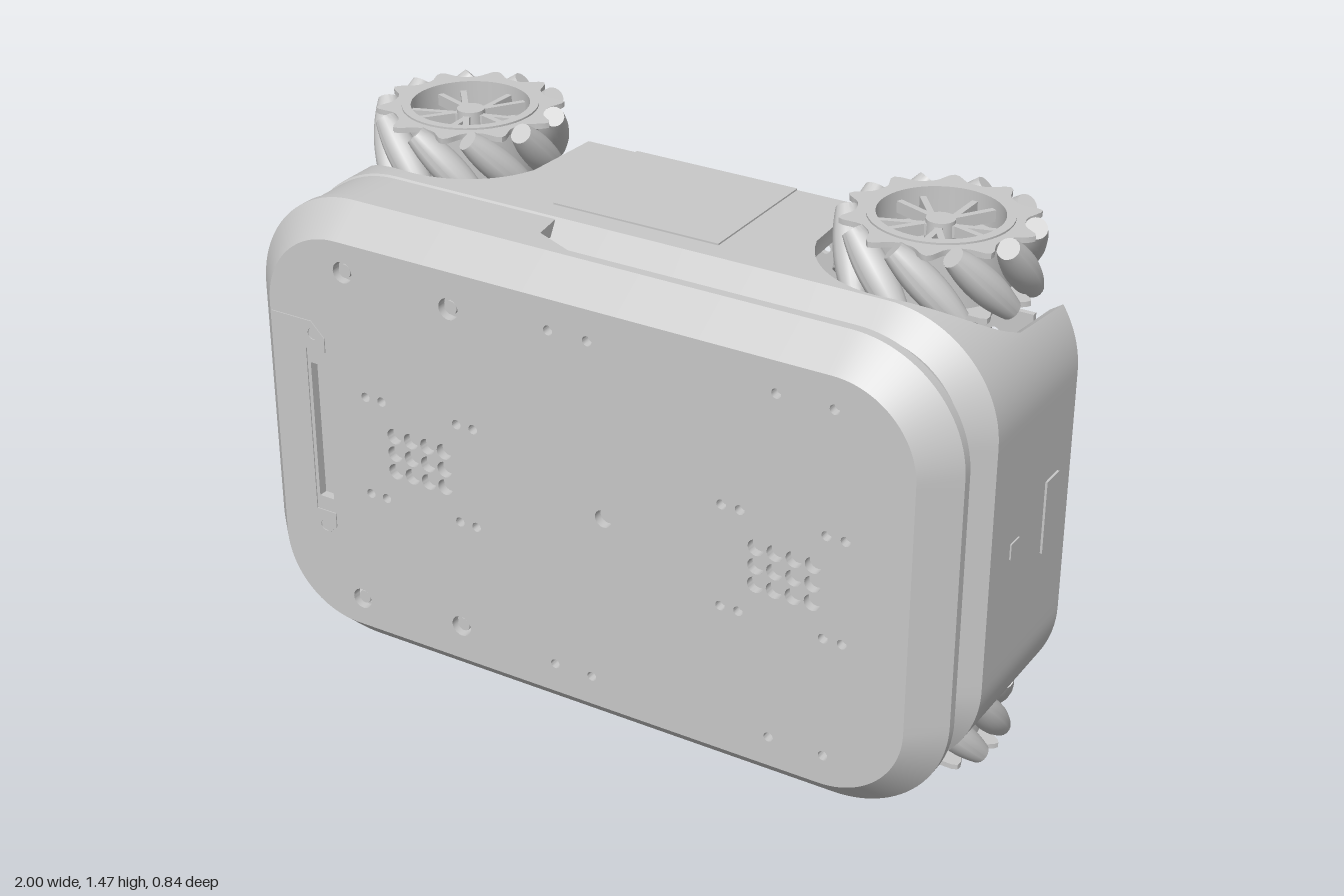
import * as THREE from 'three';
import { toCreasedNormals } from 'three/addons/utils/BufferGeometryUtils.js';

const CY = 0.735;
const gray = new THREE.MeshStandardMaterial({ color: 0xc8c8c8, side: THREE.DoubleSide });
gray.name = 'light gray plastic';

function add(parent, name, geometry, x = 0, y = 0, z = 0) {
  const m = new THREE.Mesh(geometry, gray);
  m.name = name;
  m.position.set(x, y, z);
  parent.add(m);
  return m;
}

// Rounded rectangle outline, counter-clockwise, always the same point count
function outline(inset) {
  const w = 0.995 - inset, h = 0.635 - inset, r = 0.3 - inset, pts = [];
  const corners = [[1, -1], [1, 1], [-1, 1], [-1, -1]];
  corners.forEach(([sx, sy], k) => {
    const cx = sx * (w - r), cy = sy * (h - r), a0 = (k - 1) * Math.PI / 2;
    for (let i = 0; i <= 24; i++) {
      const a = a0 + i / 24 * Math.PI / 2;
      pts.push(new THREE.Vector2(cx + r * Math.cos(a) - 0.005, cy + r * Math.sin(a) + CY));
    }
    const last = pts[pts.length - 1], n = k % 2 ? 100 : 20;
    const [nx, ny] = corners[(k + 1) % 4], an = k * Math.PI / 2;
    const next = new THREE.Vector2(nx * (w - r) + r * Math.cos(an) - 0.005, ny * (h - r) + r * Math.sin(an) + CY);
    for (let i = 1; i < n; i++) pts.push(last.clone().lerp(next, i / n));
  });
  return pts;
}

// Skin through outlines; each step is [inset, z], z may depend on x
function loft(steps) {
  const base = outline(0), n = base.length, pos = [], idx = [];
  steps.forEach(([inset, z]) => outline(inset).forEach((p, i) =>
    pos.push(p.x, p.y, typeof z === 'function' ? z(base[i].x) : z)));
  for (let s = 0; s < steps.length - 1; s++) {
    for (let i = 0; i < n; i++) {
      const a = s * n + i, b = s * n + (i + 1) % n;
      idx.push(a, b, b + n, a, b + n, a + n);
    }
  }
  const g = new THREE.BufferGeometry();
  g.setAttribute('position', new THREE.Float32BufferAttribute(pos, 3));
  g.setIndex(idx);
  return toCreasedNormals(g, 0.5);
}

const circle = (x, y, r) => new THREE.Path().absarc(x, y, r, 0, Math.PI * 2, true);
const rect = (x0, y0, x1, y1) => new THREE.Path([[x0, y0], [x0, y1], [x1, y1], [x1, y0]].map(p => new THREE.Vector2(...p)));

function slab(pts, depth, holes = []) {
  const s = new THREE.Shape(pts);
  s.holes.push(...holes);
  return toCreasedNormals(new THREE.ExtrudeGeometry(s, { depth, bevelEnabled: false, curveSegments: 10 }), 0.5);
}
const poly = list => list.map(([x, y]) => new THREE.Vector2(x, CY + y));

// Lower rim of the body wall, rising over the wheels
function wallBottom(x) {
  for (const [c, w, top] of [[-0.675, 0.265, 0.12], [0.66, 0.275, 0.15]]) {
    const u = (x - c) / w;
    if (Math.abs(u) < 1) return -0.13 + (top + 0.13) * Math.sqrt(1 - u * u);
  }
  return -0.29;
}

// Lower rim of the rear band that carries the lid
function bandBottom(x) {
  if (x < -0.2) return 0.16;
  return Math.min(0.32, 0.25 + (x + 0.2) * 0.45);
}

function buildWheel() {
  const wheel = new THREE.Group();
  // Scalloped side plates
  const edge = [];
  for (let i = 0; i < 120; i++) {
    const a = i / 120 * Math.PI * 2;
    const r = 0.222 + 0.022 * Math.cos(10 * a + 0.6 * Math.sin(10 * a));
    edge.push(new THREE.Vector2(r * Math.cos(a), r * Math.sin(a)));
  }
  const plate = slab(edge, 0.014, [circle(0, 0, 0.165)]);
  plate.rotateX(-Math.PI / 2);
  add(wheel, 'outerPlate', plate, 0, 0.076, 0);
  add(wheel, 'innerPlate', plate, 0, -0.09, 0);
  // Rim, hub and paired spokes
  const ring = [[0.155, -0.095], [0.178, -0.095], [0.178, 0.095], [0.155, 0.095], [0.155, -0.095]];
  add(wheel, 'rim', toCreasedNormals(new THREE.LatheGeometry(ring.map(p => new THREE.Vector2(...p)), 48), 0.5));
  add(wheel, 'rimWeb', new THREE.CylinderGeometry(0.157, 0.157, 0.012, 40), 0, 0.01, 0);
  add(wheel, 'hub', new THREE.CylinderGeometry(0.036, 0.042, 0.15, 24), 0, 0.005, 0);
  for (let i = 0; i < 5; i++) {
    for (const side of [-1, 1]) {
      const arm = new THREE.Group();
      arm.rotation.y = i * Math.PI * 0.4 + side * 0.16;
      const spoke = add(arm, 'spoke', new THREE.BoxGeometry(0.135, 0.03, 0.016), 0.094, 0.055, 0);
      spoke.rotation.y = side * 0.12;
      wheel.add(arm);
    }
  }
  // Barrel rollers set at 45 degrees
  const profile = [new THREE.Vector2(0, -0.115)];
  for (let i = 0; i <= 12; i++) {
    const t = -0.115 + i / 12 * 0.23;
    profile.push(new THREE.Vector2(0.255 - Math.hypot(0.212, 0.707 * t), t));
  }
  profile.push(new THREE.Vector2(0, 0.115));
  const barrel = toCreasedNormals(new THREE.LatheGeometry(profile, 18), 0.6);
  for (let i = 0; i < 10; i++) {
    const arm = new THREE.Group();
    arm.rotation.y = i / 10 * Math.PI * 2;
    add(arm, 'roller', barrel, 0.212, 0, 0).rotation.x = Math.PI / 4;
    wheel.add(arm);
  }
  return wheel;
}

export function createModel() {
  const robot = new THREE.Group();
  robot.name = 'wheeledRobot';

  // Body shell with wheel arches and chamfered deck
  add(robot, 'bodyShell', loft([[0.07, 0.15], [0.04, 0.15], [0.04, wallBottom], [0, wallBottom], [0, 0.16], [0.065, 0.215]]));
  add(robot, 'deck', slab(outline(0.065), 0.065), 0, 0, 0.15);
  add(robot, 'rearBand', loft([[0.04, 0.32], [0.04, bandBottom], [0.005, bandBottom], [0.005, 0.32]]));

  // Lid with drilled top, hollow rim and ribs
  add(robot, 'lidRim', loft([[0.13, 0.33], [0.13, 0.385], [0.07, 0.385], [0.03, 0.335], [0.03, 0.31], [0, 0.31], [0, 0.335], [0.08, 0.42]]));
  add(robot, 'lidFloor', slab(outline(0.13), 0.01), 0, 0, 0.33);
  const holes = [circle(0.08, CY, 0.024), rect(-0.8, 0.54, -0.755, 0.93)];
  for (const x0 of [-0.545, 0.505]) {
    for (let i = 0; i < 4; i++) for (let j = -1; j <= 1; j++) holes.push(circle(x0 + i * 0.051, CY + j * 0.051, 0.022));
  }
  for (const s of [-1, 1]) {
    for (const x of [-0.07, 0.04, 0.55, 0.7]) holes.push(circle(x, CY + s * 0.472, 0.013));
    for (const x of [-0.63, -0.58, -0.35, -0.3, 0.41, 0.46, 0.69, 0.74]) holes.push(circle(x, CY + s * 0.14, 0.013));
    holes.push(circle(-0.68, CY + s * 0.475, 0.029), circle(-0.36, CY + s * 0.455, 0.029));
    for (const x of [-0.68, -0.36]) {
      const y = CY + s * (x < -0.5 ? 0.475 : 0.455);
      add(robot, 'lidScrew', new THREE.CylinderGeometry(0.018, 0.018, 0.06, 16), x, y, 0.38).rotation.x = Math.PI / 2;
    }
  }
  add(robot, 'lidTop', slab(outline(0.08), 0.025, holes), 0, 0, 0.395);
  const ribs = outline(0.09);
  for (let i = 0; i < ribs.length; i += 12) {
    const t = ribs[(i + 1) % ribs.length].clone().sub(ribs[i]);
    add(robot, 'lidRib', new THREE.BoxGeometry(0.01, 0.08, 0.05), ribs[i].x, ribs[i].y, 0.35).rotation.z = Math.atan2(t.y, t.x);
  }
  // Access cover on the lid
  const cover = poly([[-0.915, -0.315], [-0.79, -0.315], [-0.75, -0.275], [-0.75, -0.235], [-0.81, -0.235],
    [-0.81, 0.235], [-0.75, 0.235], [-0.75, 0.275], [-0.79, 0.315], [-0.915, 0.315]]);
  add(robot, 'accessCover', slab(cover, 0.004, [-0.28, 0.28].map(y => circle(-0.785, CY + y, 0.016))), 0, 0, 0.419);

  // Scanner between deck and lid
  add(robot, 'scanner', new THREE.CylinderGeometry(0.19, 0.19, 0.09, 48), 0.41, CY, 0.255).rotation.x = Math.PI / 2;
  for (const a of [-0.9, 0.9, 2.2, -2.2]) {
    const port = add(robot, 'scannerPort', new THREE.TorusGeometry(0.02, 0.006, 8, 20), 0.41 + 0.19 * Math.cos(a), CY + 0.19 * Math.sin(a), 0.255);
    port.rotation.set(Math.PI / 2, a + Math.PI / 2, 0, 'ZXY');
    port.rotation.set(Math.PI / 2, 0, a + Math.PI / 2, 'ZXY');
  }

  // Chassis plates underneath
  const bolts = [];
  for (const s of [-1, 1]) {
    for (const x of [0.3, 0.05, -0.2, -0.38]) bolts.push(circle(x, CY + s * 0.5, 0.014));
    for (const x of [0.3, 0.22]) bolts.push(circle(x, CY + s * 0.27, 0.016), circle(x, CY + s * 0.12, 0.016));
    for (const x of [-0.55, -0.64]) bolts.push(circle(x, CY + s * 0.26, 0.013), circle(x, CY + s * 0.4, 0.013));
    bolts.push(circle(-0.595, CY + s * 0.33, 0.03), circle(-0.1, CY + s * 0.1, 0.012), circle(-0.75, CY + s * 0.15, 0.014));
    bolts.push(rect(-0.4, CY + s * 0.29 - 0.005, 0.1, CY + s * 0.29 + 0.005));
  }
  bolts.push(rect(-0.47, CY - 0.3, -0.455, CY + 0.3));
  const half = [[-0.86, 0.18], [-0.8, 0.18], [-0.8, 0.3], [-0.86, 0.3], [-0.86, 0.46], [-0.42, 0.46], [-0.39, 0.59],
    [0.37, 0.59], [0.37, 0.34], [0.43, 0.3], [0.43, 0.22], [0.57, 0.2]];
  const mirrored = list => poly([...list, ...list.map(([x, y]) => [x, -y]).reverse()]);
  add(robot, 'mainPlate', slab(mirrored(half), 0.015, bolts), 0, 0, -0.295);
  const axleHoles = [];
  for (const s of [-1, 1]) {
    axleHoles.push(circle(0.7, CY + s * 0.33, 0.032));
    for (const dx of [-0.07, 0.07]) for (const dy of [-0.06, 0.06]) axleHoles.push(circle(0.7 + dx, CY + s * 0.33 + dy, 0.013));
    axleHoles.push(circle(0.7, CY + s * 0.1, 0.015), circle(0.78, CY + s * 0.05, 0.013));
  }
  const axleHalf = [[0.87, 0.46], [0.43, 0.46], [0.43, 0.38], [0.5, 0.35], [0.5, 0.27], [0.63, 0.24]];
  add(robot, 'axlePlate', slab(mirrored(axleHalf), 0.015, axleHoles), 0, 0, -0.295);
  add(robot, 'pivotBeam', new THREE.BoxGeometry(0.5, 0.12, 0.05), 0.62, CY, -0.2);

  // Sides: battery panel, wheels, motors and brackets
  for (const s of [-1, 1]) {
    const yAt = d => CY + s * d;
    add(robot, 'sidePanel', new THREE.BoxGeometry(0.47, 0.009, 0.39), -0.025, yAt(0.635), -0.095);
    for (const x of [-0.69, 0.665]) {
      const wheel = buildWheel();
      wheel.name = 'wheel';
      wheel.position.set(x, yAt(0.632), -0.163);
      if (s < 0) wheel.rotation.x = Math.PI;
      robot.add(wheel);
      add(robot, 'motor', new THREE.CylinderGeometry(0.075, 0.075, 0.34, 24), x, yAt(0.3), -0.163);
      add(robot, 'axle', new THREE.CylinderGeometry(0.02, 0.02, 0.22, 16), x, yAt(0.53), -0.163);
      add(robot, 'motorBracket', new THREE.BoxGeometry(0.2, 0.015, 0.22), x, yAt(0.455), -0.185);
    }
  }

  // End details
  add(robot, 'frontPanel', new THREE.BoxGeometry(0.012, 0.2, 0.07), 0.99, CY, -0.175);
  add(robot, 'frontPort', new THREE.BoxGeometry(0.008, 0.042, 0.046), 0.99, CY, 0.027);
  add(robot, 'rearSocket', new THREE.BoxGeometry(0.008, 0.06, 0.04), -1, 0.68, 0.06);
  add(robot, 'rearSwitch', new THREE.BoxGeometry(0.008, 0.09, 0.07), -1, 0.72, -0.24);
  for (const z of [-0.15, 0]) {
    add(robot, 'rearPort', new THREE.TorusGeometry(0.03, 0.007, 8, 24), -1, 0.88, z).rotation.y = Math.PI / 2;
  }
  return robot;
}
